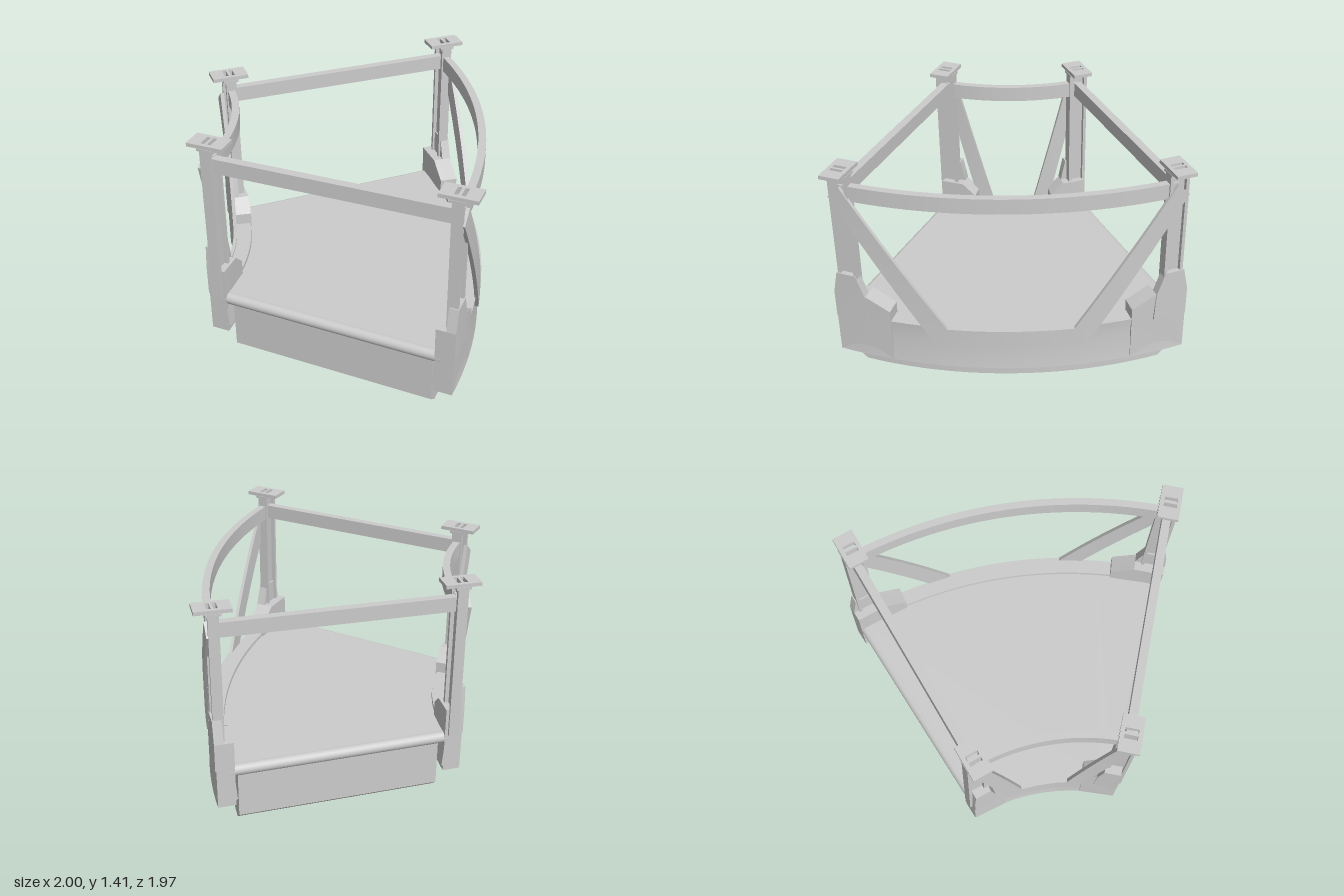
import * as THREE from 'three';
import { toCreasedNormals } from 'three/addons/utils/BufferGeometryUtils.js';

// The frame is a 46 degree ring sector: everything is placed by radius and angle.
const CX = -1.75, CZ = 0.97, SPAN = 46, POST_ANGLE = 2.1;
const rad = THREE.MathUtils.degToRad;
const mat = new THREE.MeshStandardMaterial({ color: 0xcccccc });
const polar = (r, deg, y) => new THREE.Vector3(CX + r * Math.cos(rad(deg)), y, CZ - r * Math.sin(rad(deg)));

// Solid through matching rings of points, capped with the flat outline cap2D.
function loft(rings, cap2D, crease = 0.5) {
  const n = rings[0].length, pts = rings.flat(), idx = [];
  for (let i = 0; i < rings.length - 1; i++) {
    for (let j = 0; j < n; j++) {
      const a = i * n + j, b = i * n + (j + 1) % n;
      idx.push(a, b, b + n, a, b + n, a + n);
    }
  }
  const contour = cap2D.map(([x, y]) => new THREE.Vector2(x, y));
  const ccw = THREE.ShapeUtils.area(contour) > 0;
  const last = (rings.length - 1) * n;
  for (const t of THREE.ShapeUtils.triangulateShape(contour, [])) {
    // triangles follow the contour's direction once its winding is known
    const [p, q, s] = t.map(k => contour[k]);
    const same = ((q.x - p.x) * (s.y - p.y) - (q.y - p.y) * (s.x - p.x) > 0) === ccw;
    const [a, b, c] = same ? t : [t[0], t[2], t[1]];
    idx.push(a, c, b, last + a, last + b, last + c);
  }
  // turn the solid outward if its volume comes out negative
  let vol = 0;
  for (let i = 0; i < idx.length; i += 3) {
    vol += pts[idx[i]].dot(pts[idx[i + 1]].clone().cross(pts[idx[i + 2]]));
  }
  if (vol < 0) idx.reverse();
  const g = new THREE.BufferGeometry().setFromPoints(pts);
  g.setIndex(idx);
  return toCreasedNormals(g, crease);
}

// Profile of [radius, y] swept around the sector
function arcSweep(profile, from, to, steps = 24) {
  const rings = [];
  for (let i = 0; i <= steps; i++) {
    const t = from + (to - from) * i / steps;
    rings.push(profile.map(([r, y]) => polar(r, t, y)));
  }
  return loft(rings, profile);
}

// Sector outline at height y, its straight edges pulled in by inset
function sectorRing(r0, r1, inset, y, steps = 20) {
  const ring = [];
  for (const [r, dir] of [[r0, 1], [r1, -1]]) {
    const e = THREE.MathUtils.radToDeg(Math.asin(inset / r));
    for (let i = 0; i <= steps; i++) {
      const k = dir > 0 ? i / steps : 1 - i / steps;
      ring.push(polar(r, e + (SPAN - 2 * e) * k, y));
    }
  }
  return ring;
}
function sectorSolid(r0, r1, levels) {
  const rings = levels.map(([inset, y]) => sectorRing(r0, r1, inset, y));
  return loft(rings, rings[0].map(p => [p.x, p.z]));
}

// Cap plate with two slots beside the post web
function slottedPlate(w, d, h) {
  const rect = (T, x0, x1, z) => new T([[x0, -z], [x1, -z], [x1, z], [x0, z]].map(p => new THREE.Vector2(...p)));
  const shape = rect(THREE.Shape, -w / 2, w / 2, d / 2);
  shape.holes.push(rect(THREE.Path, -0.031, -0.008, 0.038), rect(THREE.Path, 0.008, 0.031, 0.038));
  return new THREE.ExtrudeGeometry(shape, { depth: h, bevelEnabled: false }).rotateX(-Math.PI / 2);
}

export function createModel() {
  const model = new THREE.Group();
  const add = (name, geo, parent = model) => {
    const m = new THREE.Mesh(geo, mat);
    m.name = name;
    parent.add(m);
    return m;
  };
  const station = (name, r, deg) => {
    const g = new THREE.Group();
    g.name = name;
    g.position.copy(polar(r, deg, 0));
    g.rotation.y = rad(deg);
    model.add(g);
    return g;
  };

  // Underbody with chamfered straight ends, and the deck above it
  add('underbody', sectorSolid(1.29, 2.54, [[0.09, 0], [0.03, 0.05], [0.03, 0.35]]));
  add('deck', sectorSolid(1.2, 2.6, [[0.035, 0.34], [0.035, 0.41]]));

  const sides = [
    { name: 'outer', edge: 2.67, sgn: 1, post: 2.637, flat: 0.2, ramp: 0.35, tall: [0.03, 0.15],
      lower: [[0.8, 1.24], [13.4, 0.31]], upper: [[2.4, 1.31], [15, 0.43]] },
    { name: 'inner', edge: 1.15, sgn: -1, post: 1.208, flat: 0.14, ramp: 0.22, tall: [0.01, 0.11],
      lower: [[0.6, 1.24], [12, 0.31]], upper: [[4.2, 1.3], [15.8, 0.44]] },
  ];

  for (const s of sides) {
    const R = d => s.edge - s.sgn * d; // depth measured in from the face

    // Curved side skirt with a pinched face
    add(s.name + 'Skirt', arcSweep([[0.12, 0.19], [0.07, 0.15], [0, 0.15], [0.015, 0.33], [0.005, 0.43], [0.1, 0.43]]
      .map(([d, y]) => [R(d), y]), 0, SPAN));

    // Curved top rail between posts
    add(s.name + 'TopRail', arcSweep([[-0.022, 1.22], [0.022, 1.22], [0.022, 1.315], [-0.022, 1.315]]
      .map(([d, y]) => [s.post + d, y]), POST_ANGLE, SPAN - POST_ANGLE));

    // Bent brace strap: down, along the skirt, and up again
    const whole = half => [...half, ...half.map(([t, y]) => [SPAN - t, y]).reverse()];
    const lo = whole(s.lower), up = whole(s.upper), rings = [];
    const mix = (a, b, k) => [a[0] + (b[0] - a[0]) * k, a[1] + (b[1] - a[1]) * k];
    for (let i = 0; i < 3; i++) {
      for (let k = i ? 1 : 0; k <= 8; k++) {
        const l = mix(lo[i], lo[i + 1], k / 8), u = mix(up[i], up[i + 1], k / 8);
        rings.push([polar(R(0.012), ...l), polar(R(-0.01), ...l), polar(R(-0.01), ...u), polar(R(0.012), ...u)]);
      }
    }
    add(s.name + 'Brace', loft(rings, [[0, 0], [1, 0], [1, 1], [0, 1]]));

    for (const end of [0, 1]) {
      const at = t => (end ? SPAN - t : t);
      const tag = s.name + (end ? 'Back' : 'Front');

      // Foot: stepped block around the post plus a taller outside cheek
      const foot = (name, profile, depths) => add(name, loft(depths.map(d =>
        profile.map(([a, y]) => polar(R(d), at(THREE.MathUtils.radToDeg(a / s.edge)), y))), profile, 0.2));
      foot(tag + 'Foot', [[0, 0.15], [s.ramp, 0.15], [s.ramp, 0.5], [s.flat, 0.58], [0, 0.58]], [0.11, 0.04, 0]);
      const [t0, t1] = s.tall;
      foot(tag + 'FootCheek', [[0, 0.4], [s.flat + 0.01, 0.4], [s.flat, 0.58], [t1, 0.72], [t0, 0.72], [0, 0.58]],
        [0.05, -0.006]);

      // H-section post with slotted cap
      const g = station(tag + 'Post', s.post, at(POST_ANGLE));
      for (const z of [-0.05, 0.05]) {
        add('postFlange', new THREE.BoxGeometry(0.064, 0.99, 0.02), g).position.set(0, 0.895, z);
      }
      add('postWeb', new THREE.BoxGeometry(0.015, 0.99, 0.1), g).position.set(0, 0.895, 0);
      add('capCollar', slottedPlate(0.09, 0.13, 0.015), g).position.y = 1.37;
      add('capPlate', slottedPlate(0.215, 0.125, 0.022), g).position.y = 1.385;
    }
  }

  // Straight ends: rounded deck nosing and straight top beam
  for (const end of [0, 1]) {
    const tag = end ? 'back' : 'front';
    const edge = station(tag + 'Edge', 1.915, end ? SPAN : 0);
    const nose = add('deckNosing', new THREE.CylinderGeometry(0.036, 0.036, 1.36, 24), edge);
    nose.rotation.z = Math.PI / 2;
    nose.position.set(0, 0.375, end ? 0.035 : -0.035);
    const beam = station(tag + 'Beam', 1.9225, end ? SPAN - POST_ANGLE : POST_ANGLE);
    add('topBeam', new THREE.BoxGeometry(1.4, 0.09, 0.05), beam).position.y = 1.267;
  }
  return model;
}
